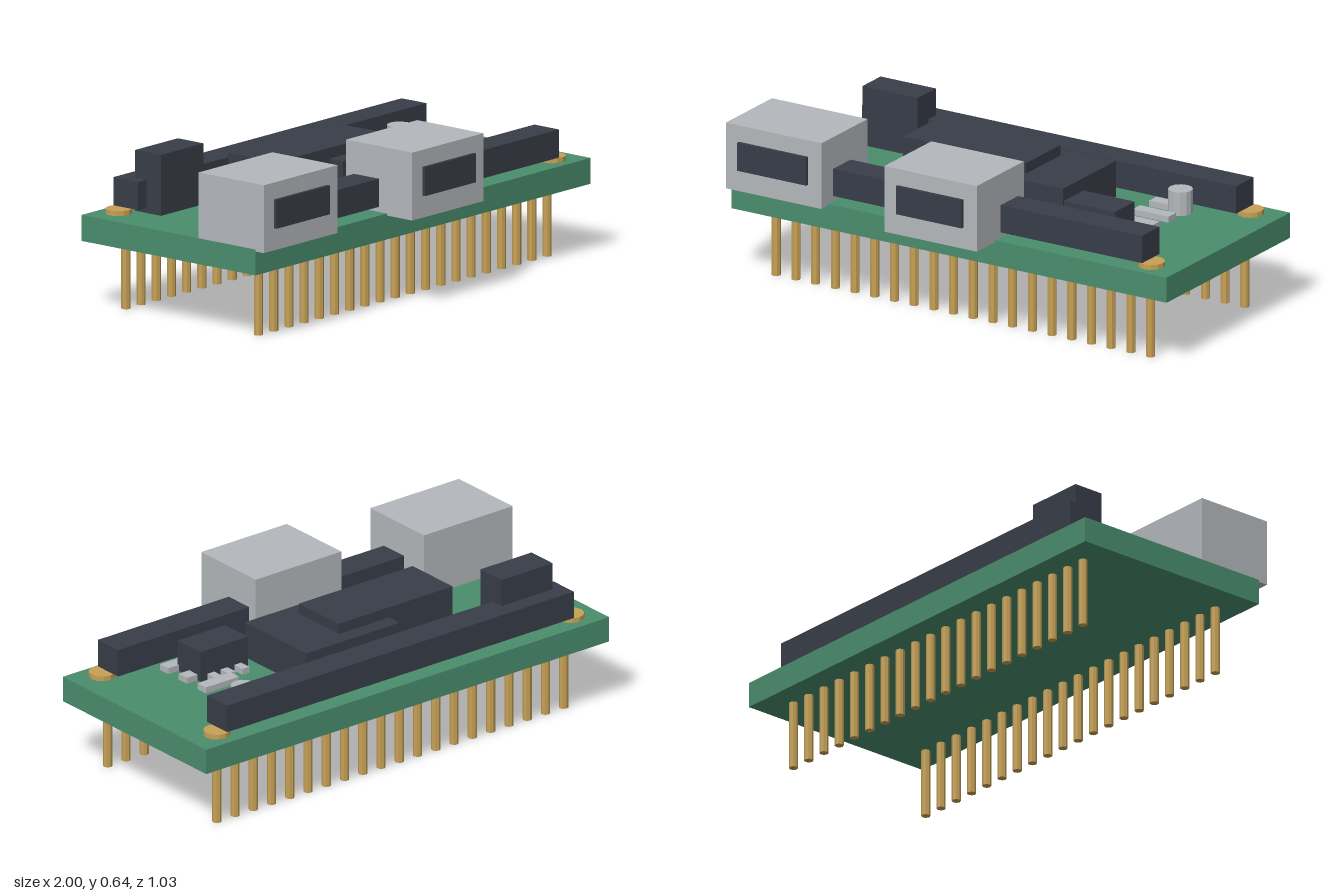
import * as THREE from 'three';

const mat = (name, color) => {
  const m = new THREE.MeshStandardMaterial({ color });
  m.name = name;
  return m;
};

export function createModel() {
  const green = mat('board green', 0x4a8d6d);
  const dark = mat('dark plastic', 0x383d48);
  const silver = mat('silver metal', 0xb4b8bc);
  const gold = mat('gold', 0xc6a156);
  // Round parts are faceted
  gold.flatShading = true;

  const model = new THREE.Group();
  model.name = 'microcontrollerBoard';
  const TOP = 0.38;

  // Box given by its limits on each axis
  const box = (name, m, [x0, x1], [y0, y1], [z0, z1]) => {
    const mesh = new THREE.Mesh(new THREE.BoxGeometry(x1 - x0, y1 - y0, z1 - z0), m);
    mesh.position.set((x0 + x1) / 2, (y0 + y1) / 2, (z0 + z1) / 2);
    mesh.name = name;
    model.add(mesh);
  };
  const cylinder = (name, m, r, sides, x, [y0, y1], z) => {
    const geo = new THREE.CylinderGeometry(r, r, y1 - y0, sides).toNonIndexed();
    geo.computeVertexNormals();
    const mesh = new THREE.Mesh(geo, m);
    mesh.position.set(x, (y0 + y1) / 2, z);
    mesh.name = name;
    model.add(mesh);
  };

  box('circuitBoard', green, [-1, 1], [0.277, TOP], [-0.514, 0.371]);

  // Header strips with a row of pins beneath each
  for (const [side, pinZ, barZ] of [['front', 0.268, [0.204, 0.329]], ['back', -0.406, [-0.47, -0.345]]]) {
    box(side + 'Header', dark, [-0.86, 0.86], [0.4, 0.512], barZ);
    for (let i = 0; i < 20; i++) {
      cylinder(side + 'Pin', gold, 0.018, 8, -0.861 + i * 0.0906, [0, 0.29], pinZ);
    }
  }

  // Gold pads at the corners
  for (const x of [-0.882, 0.875]) {
    for (const z of [0.284, -0.424]) cylinder('cornerPad', gold, 0.053, 12, x, [TOP - 0.005, 0.4], z);
  }

  // Two port housings with dark openings
  for (const [x0, x1, z0, z1] of [[-1, -0.56, 0.082, 0.413], [-0.215, 0.21, 0.163, 0.499]]) {
    box('portHousing', silver, [x0, x1], [0.372, 0.642], [z0, z1]);
    box('portOpening', dark, [x0 + 0.061, x1 - 0.061], [0.46, 0.575], [z1 - 0.005, z1 + 0.014]);
  }

  // Chips with leads along front and back
  const chips = [
    { name: 'mainChip', x: [-0.445, 0.12], z: [-0.238, 0.008], top: 0.57, leads: [-0.318, -0.163, -0.01] },
    { name: 'wideChip', x: [-0.13, 0.334], z: [-0.303, 0.076], top: 0.527, leads: [-0.026, 0.102, 0.232] },
    { name: 'smallChip', x: [0.38, 0.615], z: [0, 0.141], top: 0.506, leads: [0.43, 0.499, 0.564] },
  ];
  for (const c of chips) {
    box(c.name, dark, c.x, [TOP, c.top], c.z);
    for (const x of c.leads) {
      box(c.name + 'Lead', silver, [x - 0.017, x + 0.017], [TOP - 0.005, 0.405], [c.z[0] - 0.05, c.z[0] + 0.01]);
      box(c.name + 'Lead', silver, [x - 0.017, x + 0.017], [TOP - 0.005, 0.405], [c.z[1] - 0.01, c.z[1] + 0.05]);
    }
  }

  // Tall block at the back
  box('tallBlock', dark, [-0.811, -0.557], [TOP, 0.622], [-0.401, -0.27]);

  // Column of small parts and a round can
  for (let i = 0; i < 5; i++) {
    const z = -0.304 + i * 0.116;
    box('smallComponent', silver, [0.503, 0.667], [TOP - 0.005, 0.405], [z - 0.026, z + 0.026]);
  }
  cylinder('capacitor', silver, 0.049, 12, 0.638, [TOP, 0.476], -0.292);

  return model;
}
